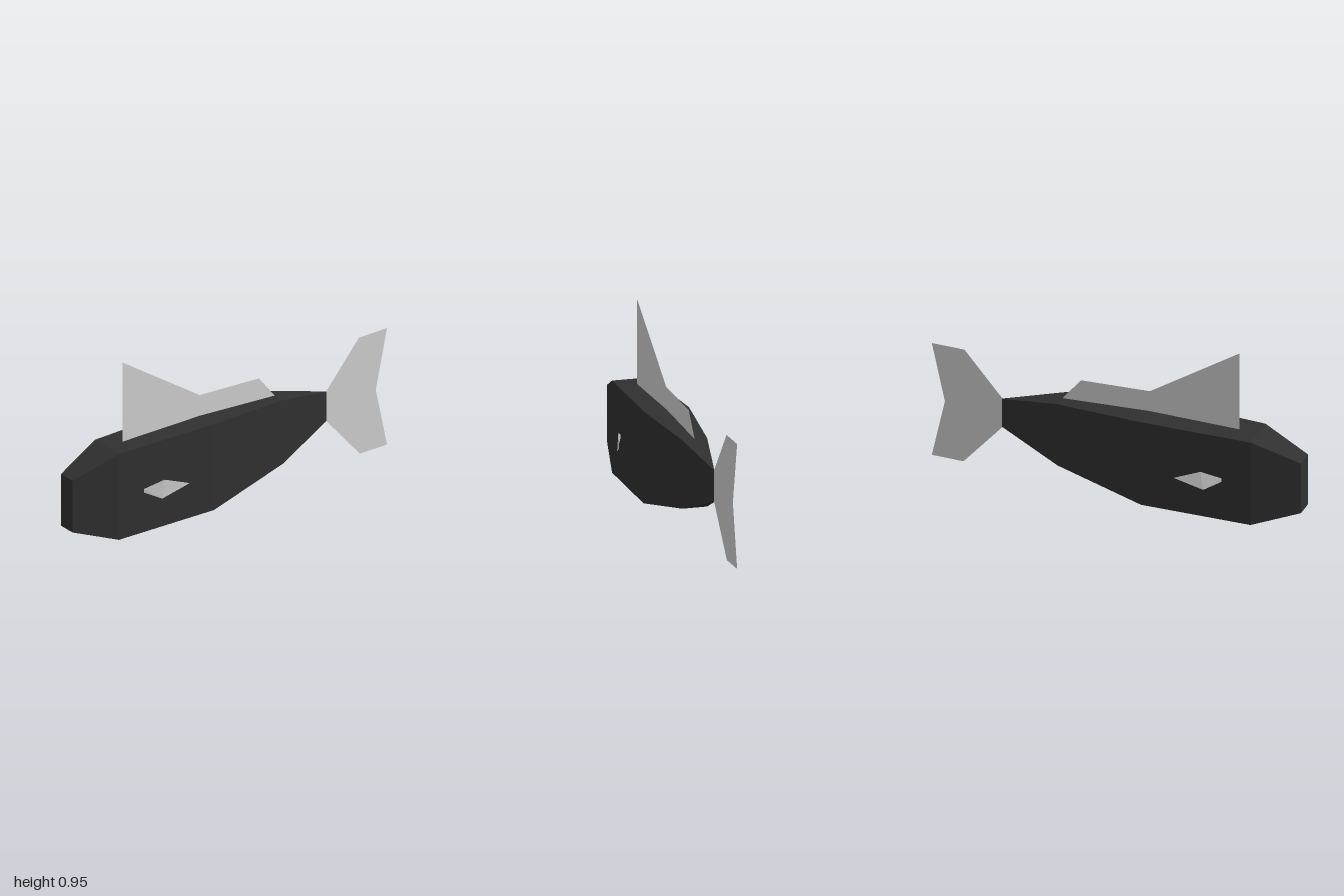
import * as THREE from 'three';

export function createModel() {
  const group = new THREE.Group();
  const skin = new THREE.MeshStandardMaterial({ name: 'charcoal skin', color: 0x303030, flatShading: true, side: THREE.DoubleSide });
  const finMat = new THREE.MeshStandardMaterial({ name: 'pale grey fin', color: 0xd0d0d0, flatShading: true, side: THREE.DoubleSide });

  const add = (name, geometry, material) => {
    const mesh = new THREE.Mesh(geometry, material);
    mesh.name = name;
    group.add(mesh);
    return mesh;
  };

  // Faceted surface from quads of corner points
  const fromQuads = (quads) => {
    const pos = [];
    for (const [a, b, c, d] of quads) for (const p of [a, b, c, a, c, d]) pos.push(...p);
    const g = new THREE.BufferGeometry();
    g.setAttribute('position', new THREE.Float32BufferAttribute(pos, 3));
    g.computeVertexNormals();
    return g;
  };

  // Body: rectangular sections from nose to tail [z, half width, bottom, top]
  const rings = [
    [1, 0.048, 0.128, 0.415],
    [0.75, 0.1, 0.033, 0.51],
    [0.17, 0.119, 0.033, 0.51],
    [-0.3, 0.065, 0.128, 0.482],
    [-0.622, 0.001, 0.245, 0.408],
  ].map(([z, w, lo, hi]) => [[w, hi, z], [-w, hi, z], [-w, lo, z], [w, lo, z]]);
  const quads = [rings[0]];
  for (let r = 0; r < rings.length - 1; r++) {
    for (let i = 0; i < 4; i++) {
      const j = (i + 1) % 4;
      quads.push([rings[r][i], rings[r + 1][i], rings[r + 1][j], rings[r][j]]);
    }
  }
  add('body', fromQuads(quads), skin);

  // Flat fins on the centre line, outlined as [z, y]
  const centreFin = (name, outline) => {
    const shape = new THREE.Shape(outline.map(([z, y]) => new THREE.Vector2(z, y)));
    add(name, new THREE.ShapeGeometry(shape).rotateY(-Math.PI / 2), finMat);
  };
  centreFin('dorsalFin', [[0.652, 0.505], [0.652, 0.95], [0.17, 0.625], [-0.2, 0.607], [-0.3, 0.48], [0.17, 0.508]]);
  centreFin('tailFin', [[-0.62, 0.408], [-0.825, 0.647], [-1, 0.647], [-0.93, 0.325], [-1, 0], [-0.83, 0], [-0.62, 0.245]]);

  for (const [side, s] of [['left', 1], ['right', -1]]) {
    // Folded side fin
    const top = [s * 0.146, 0.311, 0.5], low = [s * 0.148, 0.211, 0.515];
    add(side + 'SideFin', fromQuads([
      [[s * 0.105, 0.272, 0.597], [s * 0.105, 0.252, 0.597], low, top],
      [top, low, [s * 0.183, 0.268, 0.37], [s * 0.183, 0.268, 0.37]].slice(0, 4),
    ]), finMat);

    // Eye plate lying on the slanted cheek
    const eye = add(side + 'Eye', new THREE.CircleGeometry(0.036, 8).scale(0.75, 1, 1), skin);
    eye.position.set(s * 0.083, 0.328, 0.85);
    eye.rotation.y = s * Math.atan2(0.25, 0.052);
  }

  return group;
}
